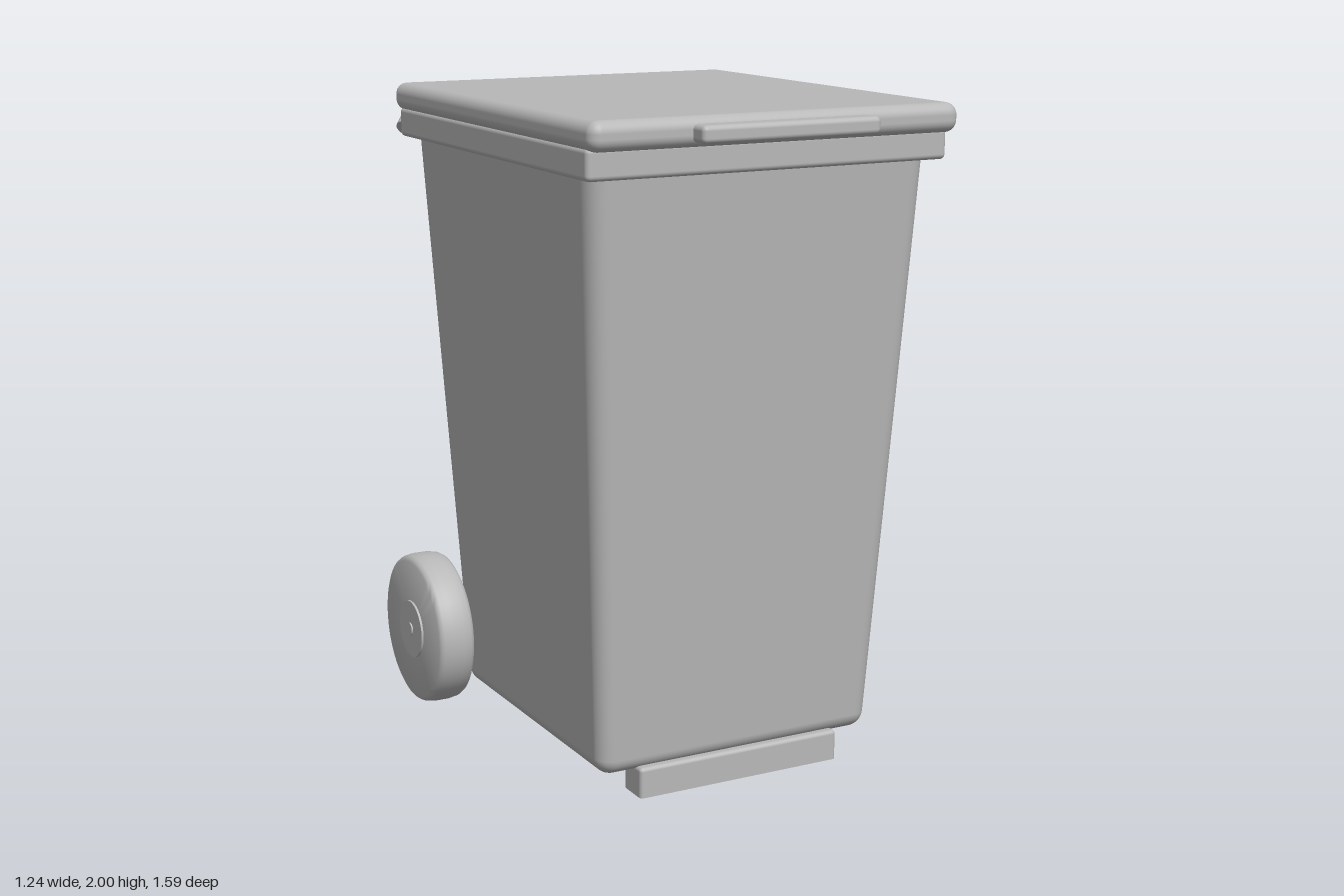
import * as THREE from 'three';
import { mergeVertices, toCreasedNormals } from 'three/addons/utils/BufferGeometryUtils.js';
import { RoundedBoxGeometry } from 'three/addons/geometries/RoundedBoxGeometry.js';

export function createModel() {
  const group = new THREE.Group();
  const plastic = new THREE.MeshStandardMaterial({ color: 0xb8b8b8 });
  plastic.name = 'grey plastic';

  const add = (name, geometry, parent = group) => {
    const mesh = new THREE.Mesh(geometry, plastic);
    mesh.name = name;
    parent.add(mesh);
    return mesh;
  };

  // Rounded box given by its extents on each axis
  const block = (name, [x0, x1], [y0, y1], [z0, z1], radius, parent) => {
    const mesh = add(name, new RoundedBoxGeometry(x1 - x0, y1 - y0, z1 - z0, 4, radius), parent);
    mesh.position.set((x0 + x1) / 2, (y0 + y1) / 2, (z0 + z1) / 2);
    return mesh;
  };

  // Cylinder lying along x
  const rod = (name, radius, x0, x1, parent) => {
    const mesh = add(name, new THREE.CylinderGeometry(radius, radius, x1 - x0, 32).rotateZ(-Math.PI / 2), parent);
    mesh.position.x = (x0 + x1) / 2;
    return mesh;
  };

  // Body: rounded box that widens upward
  const bottom = 0.08, top = 1.9;
  let body = new RoundedBoxGeometry(0.91, top - bottom, 0.978, 5, 0.05);
  body.translate(0, (top + bottom) / 2, 0);
  const p = body.attributes.position;
  for (let i = 0; i < p.count; i++) {
    const h = p.getY(i) - bottom;
    p.setX(i, p.getX(i) * (1 + 0.049 * h / 0.455));
    p.setZ(i, p.getZ(i) * (1 + 0.072 * h / 0.489) + 0.031);
  }
  body.deleteAttribute('normal');
  body.deleteAttribute('uv');
  body = mergeVertices(body, 1e-4);
  body.computeVertexNormals();
  add('body', body);

  // Rim, lid and front grip
  block('rim', [-0.572, 0.572], [1.835, 1.925], [-0.63, 0.687], 0.015);
  block('lid', [-0.583, 0.583], [1.915, 2], [-0.653, 0.737], 0.035);
  block('lidGrip', [-0.28, 0.28], [1.93, 1.98], [0.7, 0.793], 0.015);

  // Hinge blocks
  for (const s of [-1, 1]) {
    block('hinge', [s * 0.377 - 0.054, s * 0.377 + 0.054], [1.86, 1.963], [-0.718, -0.6], 0.012);
  }

  // Rear handle: straight bar with short bent ends
  const path = new THREE.CurvePath();
  const pts = [[-0.515, 1.847, -0.733], [-0.475, 1.887, -0.77], [0.475, 1.887, -0.77], [0.515, 1.847, -0.733]]
    .map((v) => new THREE.Vector3(...v));
  const mix = (a, b, d) => a.clone().add(b.clone().sub(a).setLength(d));
  const k = 0.015;
  path.add(new THREE.LineCurve3(pts[0], mix(pts[1], pts[0], k)));
  path.add(new THREE.QuadraticBezierCurve3(mix(pts[1], pts[0], k), pts[1], mix(pts[1], pts[2], k)));
  path.add(new THREE.LineCurve3(mix(pts[1], pts[2], k), mix(pts[2], pts[1], k)));
  path.add(new THREE.QuadraticBezierCurve3(mix(pts[2], pts[1], k), pts[2], mix(pts[2], pts[3], k)));
  path.add(new THREE.LineCurve3(mix(pts[2], pts[3], k), pts[3]));
  add('handleBar', new THREE.TubeGeometry(path, 160, 0.028, 16));
  for (const [end, next] of [[pts[0], pts[1]], [pts[3], pts[2]]]) {
    const cap = add('handleEnd', new THREE.CircleGeometry(0.028, 16));
    cap.position.copy(end);
    cap.lookAt(end.clone().multiplyScalar(2).sub(next));
  }

  // Axle and wheels
  const wheels = new THREE.Group();
  wheels.name = 'wheelSet';
  wheels.position.set(0, 0.25, -0.54);
  group.add(wheels);
  rod('axle', 0.021, -0.62, 0.62, wheels);
  const profile = [[0, -0.06], [0.222, -0.06], [0.232, -0.055], [0.238, -0.045], [0.242, -0.02],
    [0.242, 0.02], [0.238, 0.045], [0.232, 0.055], [0.222, 0.06], [0, 0.06]]
    .map(([r, x]) => new THREE.Vector2(r, x));
  for (const s of [-1, 1]) {
    const wheel = add('wheel', toCreasedNormals(new THREE.LatheGeometry(profile, 64), 0.6), wheels);
    wheel.geometry.rotateZ(-Math.PI / 2);
    wheel.position.x = s * 0.548;
    rod('hub', 0.093, s * 0.548 - 0.067, s * 0.548 + 0.067, wheels);
  }

  // Front foot: shallow channel open underneath
  const foot = new THREE.Group();
  foot.name = 'frontFoot';
  group.add(foot);
  const outline = (target, w, d, r) => {
    target.moveTo(-w + r, -d);
    target.lineTo(w - r, -d);
    target.absarc(w - r, -d + r, r, -Math.PI / 2, 0);
    target.absarc(w - r, d - r, r, 0, Math.PI / 2);
    target.absarc(-w + r, d - r, r, Math.PI / 2, Math.PI);
    target.absarc(-w + r, -d + r, r, Math.PI, Math.PI * 1.5);
    return target;
  };
  const frame = outline(new THREE.Shape(), 0.335, 0.053, 0.012);
  frame.holes.push(outline(new THREE.Path(), 0.321, 0.039, 0.006));
  const walls = new THREE.ExtrudeGeometry(frame, { depth: 0.08, bevelEnabled: false, curveSegments: 6 });
  walls.rotateX(-Math.PI / 2);
  add('footWalls', walls, foot).position.set(0, 0.004, 0.481);
  block('footTop', [-0.335, 0.335], [0.07, 0.096], [0.428, 0.534], 0.012, foot);

  return group;
}
